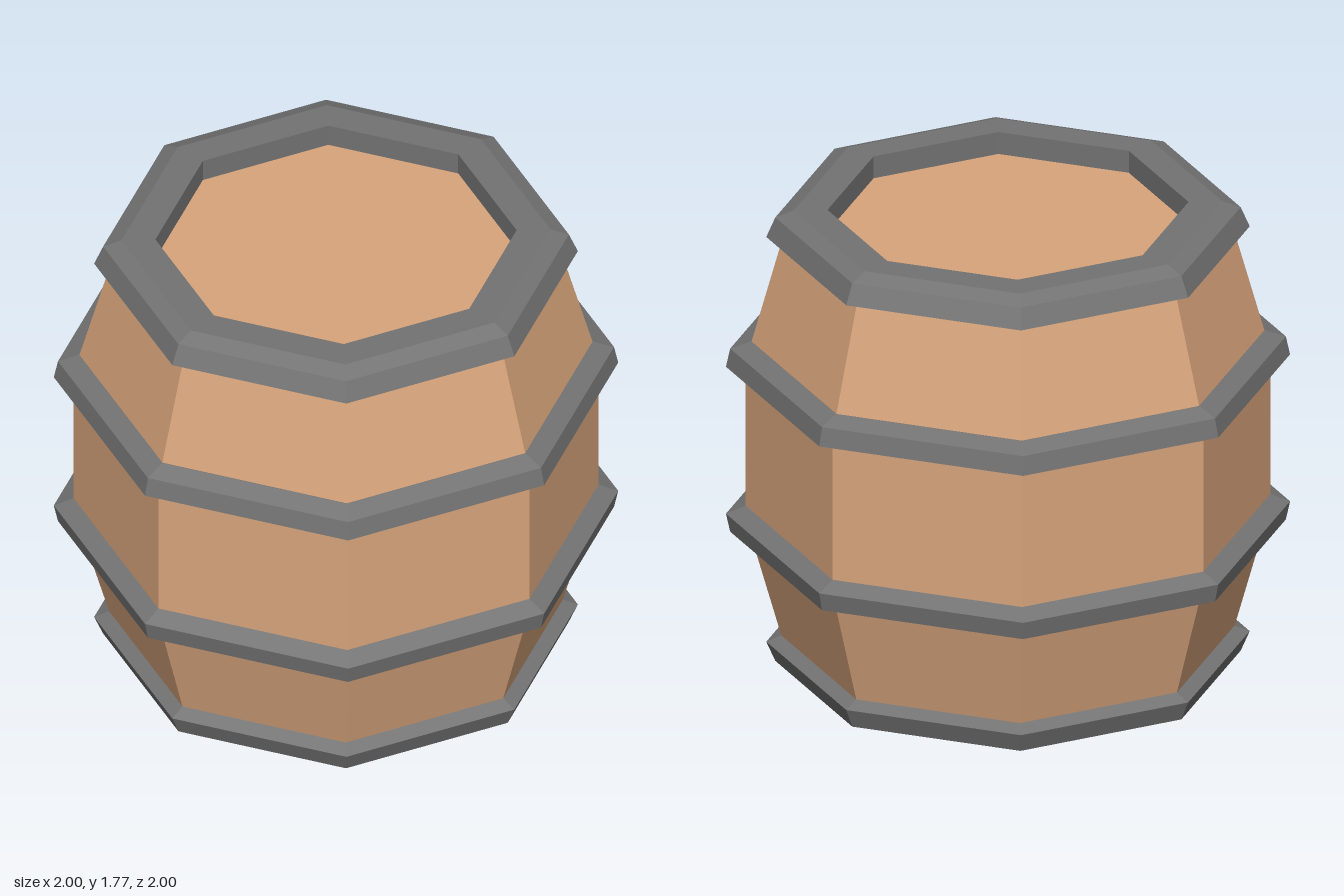
import * as THREE from 'three';

const SIDES = 8;
const HEIGHT = 1.77;

const wood = new THREE.MeshStandardMaterial({ color: 0xd9a57c, flatShading: true });
const iron = new THREE.MeshStandardMaterial({ color: 0x737373, flatShading: true });

// Eight-sided turned part; the profile runs up the outside
function turned(name, profile, material) {
  const points = profile.map(([r, y]) => new THREE.Vector2(r, y));
  const mesh = new THREE.Mesh(new THREE.LatheGeometry(points, SIDES), material);
  mesh.name = name;
  return mesh;
}

// Same profile upside down, reversed so that faces stay outward
const flip = (profile) => profile.map(([r, y]) => [r, HEIGHT - y]).reverse();

export function createModel() {
  const barrel = new THREE.Group();
  barrel.name = 'barrel';

  // Staves and the two recessed heads
  const upperBody = [[0.93, 1.19], [0.8, 1.66], [0.7, 1.685], [0, 1.685]];
  barrel.add(turned('staves', [...flip(upperBody), ...upperBody], wood));

  // Rim hoop with an inner lip around the head
  const rim = [
    [0.64, 1.645], [0.8, 1.645], [0.857, 1.67], [0.825, 1.745],
    [0.76, 1.77], [0.64, 1.77], [0.64, 1.645],
  ];
  // Belly hoop with bevelled edges
  const belly = [
    [0.88, 1.14], [0.93, 1.14], [1, 1.17], [0.985, 1.24],
    [0.912, 1.266], [0.88, 1.266], [0.88, 1.14],
  ];
  for (const [name, profile] of [['RimHoop', rim], ['BellyHoop', belly]]) {
    barrel.add(turned('upper' + name, profile, iron));
    barrel.add(turned('lower' + name, flip(profile), iron));
  }

  return barrel;
}
